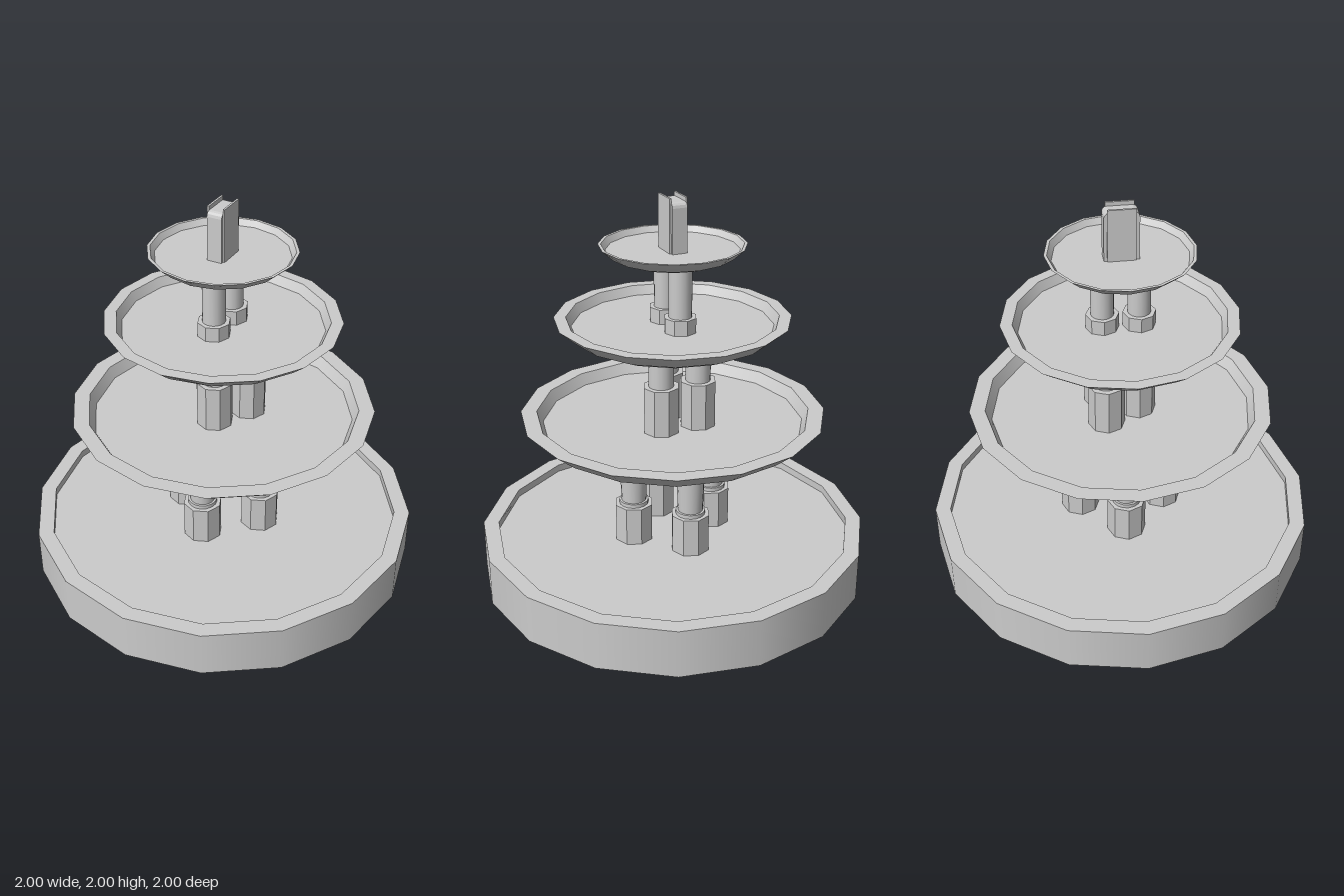
import * as THREE from 'three';
import { mergeGeometries } from 'three/addons/utils/BufferGeometryUtils.js';

const grey = new THREE.MeshStandardMaterial({ color: 0xcccccc });
const faceted = new THREE.MeshStandardMaterial({ color: 0xcccccc, flatShading: true });

function addMesh(parent, name, geometry, material = grey) {
  const mesh = new THREE.Mesh(geometry, material);
  mesh.name = name;
  parent.add(mesh);
  return mesh;
}

// Each run is smooth in itself; edges between runs stay sharp.
function turned(runs, sides = 16) {
  return mergeGeometries(runs.map(run =>
    new THREE.LatheGeometry(run.map(([r, y]) => new THREE.Vector2(r, y)), sides)));
}

// Dish with a closed underside, flat rim and sunken floor.
function dish({ under, rim, floor, inner, floorR }) {
  const top = under[under.length - 1][1];
  return turned([
    [[0, under[0][1]], under[0]],
    under,
    [[rim, top], [inner, top]],
    [[inner, top], [floorR, floor]],
    [[floorR, floor], [0, floor]],
  ]);
}

// Octagonal foot, optional collar and a round, slightly tapered shaft.
function column({ y0, footTop, y1, footR, collar, rBottom, rTop }) {
  const group = new THREE.Group();
  const foot = addMesh(group, 'columnFoot',
    new THREE.CylinderGeometry(footR, footR, footTop - y0, 8), faceted);
  foot.position.y = (y0 + footTop) / 2;
  if (collar) {
    const ring = addMesh(group, 'columnCollar', new THREE.CylinderGeometry(collar, collar, 0.02, 16));
    ring.position.y = footTop + 0.01;
  }
  const shaft = addMesh(group, 'columnShaft',
    new THREE.CylinderGeometry(rTop, rBottom, y1 - footTop, 16));
  shaft.position.y = (footTop + y1) / 2;
  return group;
}

export function createModel() {
  const model = new THREE.Group();
  model.name = 'tieredFountain';

  // Basin and three dishes
  const dishes = {
    basin: { under: [[1, 0], [1, 0.25]], rim: 1, inner: 0.92, floorR: 0.92, floor: 0.21 },
    lowerDish: { under: [[0.56, 0.77], [0.67, 0.81], [0.77, 0.893]], rim: 0.77, inner: 0.69, floorR: 0.66, floor: 0.835 },
    middleDish: { under: [[0.44, 1.3], [0.51, 1.332], [0.585, 1.397]], rim: 0.585, inner: 0.525, floorR: 0.5, floor: 1.35 },
    upperDish: { under: [[0.25, 1.695], [0.305, 1.715], [0.36, 1.765]], rim: 0.36, inner: 0.345, floorR: 0.325, floor: 1.735 },
  };
  for (const [name, spec] of Object.entries(dishes)) addMesh(model, name, dish(spec));

  // Columns carrying each dish, as [x, z] positions
  const tiers = [
    { name: 'lowerColumn', at: [[0.22, 0], [-0.22, 0], [0, 0.22], [0, -0.22]],
      y0: 0.2, footTop: 0.412, y1: 0.79, footR: 0.1, collar: 0.075, rBottom: 0.063, rTop: 0.077 },
    { name: 'middleColumn', at: [[0, 0.085], [0.1, -0.085], [-0.1, -0.085]],
      y0: 0.83, footTop: 1.077, y1: 1.32, footR: 0.092, rBottom: 0.063, rTop: 0.063 },
    { name: 'upperColumn', at: [[0, 0.09], [0, -0.09]],
      y0: 1.34, footTop: 1.425, y1: 1.71, footR: 0.082, rBottom: 0.057, rTop: 0.057 },
  ];
  for (const tier of tiers) {
    for (const [x, z] of tier.at) {
      const col = column(tier);
      col.name = tier.name;
      col.position.set(x, 0, z);
      model.add(col);
    }
  }

  // Finial: round-shouldered core between two taller side plates
  const finial = new THREE.Group();
  finial.name = 'finial';
  model.add(finial);
  const shape = new THREE.Shape();
  shape.moveTo(-0.084, 1.73);
  shape.lineTo(0.084, 1.73);
  shape.lineTo(0.084, 1.955);
  shape.quadraticCurveTo(0.082, 1.978, 0.06, 1.98);
  shape.lineTo(-0.06, 1.98);
  shape.quadraticCurveTo(-0.082, 1.978, -0.084, 1.955);
  const core = new THREE.ExtrudeGeometry(shape, { depth: 0.076, bevelEnabled: false, curveSegments: 3 });
  core.translate(0, 0, -0.038).rotateY(Math.PI / 2);
  addMesh(finial, 'finialCore', core);
  for (const side of [-1, 1]) {
    const plate = addMesh(finial, 'finialPlate', new THREE.BoxGeometry(0.01, 0.27, 0.136));
    plate.position.set(side * 0.041, 1.865, 0);
  }
  return model;
}
